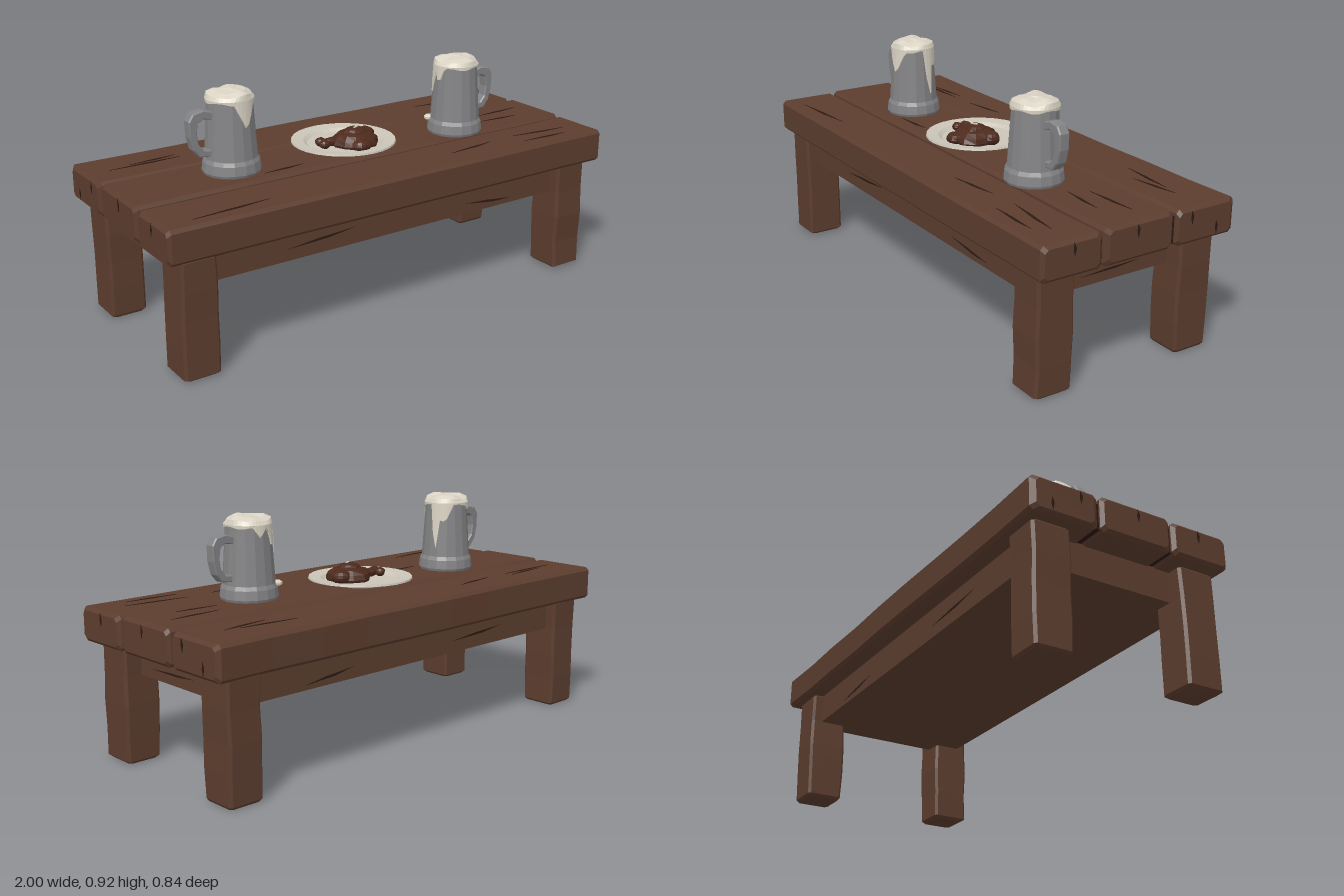
import * as THREE from 'three';

const mat = (name, color, side = THREE.FrontSide) => {
  const m = new THREE.MeshStandardMaterial({ color, side });
  m.name = name;
  return m;
};

// Small seeded generator for hand-hewn irregularity
let seed = 7;
const rnd = () => (seed = (seed * 16807) % 2147483647) / 2147483647;

// Facet a geometry so every face has its own normal
function facet(geo) {
  const g = geo.index ? geo.toNonIndexed() : geo;
  g.computeVertexNormals();
  return g;
}

// Skin a list of equal-length rings (counterclockwise about the direction of travel), capped at both ends
function loft(rings) {
  const n = rings[0].length, pos = [], idx = [];
  rings.forEach(r => r.forEach(p => pos.push(...p)));
  for (let k = 0; k < rings.length - 1; k++) {
    for (let i = 0; i < n; i++) {
      const j = (i + 1) % n, a = k * n, b = a + n;
      idx.push(a + i, a + j, b + j, a + i, b + j, b + i);
    }
  }
  const last = (rings.length - 1) * n;
  for (let i = 1; i < n - 1; i++) idx.push(0, i + 1, i, last, last + i, last + i + 1);
  const g = new THREE.BufferGeometry();
  g.setAttribute('position', new THREE.Float32BufferAttribute(pos, 3));
  g.setIndex(idx);
  return facet(g);
}

// Chamfered beam along x or y; size is [first cross axis, second cross axis, length]
function timber(axis, [su, sv, len], c, wobU, wobV, steps) {
  const put = axis === 'x' ? (u, v, w) => [w, u, v] : (u, v, w) => [v, w, u];
  const stations = [-len / 2];
  for (let k = 0; k <= steps; k++) stations.push((len / 2 - c) * (2 * k / steps - 1));
  stations.push(len / 2);
  const rings = stations.map((w, k) => {
    const inset = k === 0 || k === stations.length - 1 ? c : 0;
    const u0 = -su / 2 + inset + rnd() * wobU, u1 = su / 2 - inset - rnd() * wobU;
    const v0 = -sv / 2 + inset + rnd() * wobV, v1 = sv / 2 - inset - rnd() * wobV;
    return [[u1, v0 + c], [u1, v1 - c], [u1 - c, v1], [u0 + c, v1],
      [u0, v1 - c], [u0, v0 + c], [u0 + c, v0], [u1 - c, v0]].map(([u, v]) => put(u, v, w));
  });
  return loft(rings);
}

export function createModel() {
  const wood = mat('brown wood', 0x5c3d2e);
  const dark = mat('dark crack', 0x2b1a13);
  const pewter = mat('grey pewter', 0x838385);
  const foamMat = mat('cream foam', 0xd9d2c3, THREE.DoubleSide);
  const china = mat('pale plate', 0xcbc5b8);
  const roastMat = mat('roast brown', 0x4d2a1c);

  const model = new THREE.Group();
  model.name = 'tavernTable';
  const add = (parent, name, geo, material, x = 0, y = 0, z = 0) => {
    const m = new THREE.Mesh(geo, material);
    m.name = name;
    m.position.set(x, y, z);
    parent.add(m);
    return m;
  };

  // Table top: three rough planks with dark seams
  for (const [z, w, top] of [[0.292, 0.252, 0.592], [0.01, 0.302, 0.598], [-0.284, 0.272, 0.594]]) {
    add(model, 'plank', timber('x', [top - 0.46, w, 2], 0.013, 0, 0.008, 9), wood, 0, (top + 0.46) / 2, z);
  }
  for (const z of [0.163, -0.144]) {
    add(model, 'plankSeam', new THREE.BoxGeometry(1.96, 0.1, 0.02), dark, 0, 0.52, z);
  }

  // Frame under the top and four legs
  add(model, 'frame', new THREE.BoxGeometry(1.75, 0.125, 0.68), wood, -0.005, 0.4025, 0);
  for (const x of [-0.877, 0.867]) {
    for (const z of [0.31, -0.307]) {
      add(model, 'leg', timber('y', [0.16, 0.15, 0.462], 0.01, 0.007, 0.006, 4), wood, x, 0.231, z);
    }
  }

  // Cracks: thin slivers lying in the wood faces
  const crack = (len, w, x, y, z, rx, ry, rz) => {
    const s = new THREE.Shape();
    s.moveTo(-len / 2, 0);
    s.lineTo(len * 0.1, -w / 2);
    s.lineTo(len / 2, w * 0.3);
    s.lineTo(-len * 0.05, w / 2);
    const g = new THREE.ExtrudeGeometry(s, { depth: 0.003, bevelEnabled: false });
    g.translate(0, 0, -0.0015);
    add(model, 'crack', g, dark, x, y, z).rotation.set(rx, ry, rz);
  };
  const topCracks = [[-0.72, -0.285, 0.2, 0.06], [-0.76, -0.262, 0.3, 0], [-0.4, -0.28, 0.2, 0.12],
    [0.68, -0.285, 0.24, -0.1], [0.76, -0.25, 0.2, 0.12], [0.8, -0.02, 0.22, 0.04], [0.74, 0.06, 0.18, -0.08],
    [-0.36, 0.1, 0.18, 0.05], [-0.72, 0.345, 0.32, 0.07], [0.4, 0.29, 0.22, 0.1], [0.76, 0.285, 0.26, -0.12],
    [0.74, 0.35, 0.22, -0.05]];
  for (const [x, z, len, a] of topCracks) {
    const y = z > 0.16 ? 0.592 : z > -0.14 ? 0.598 : 0.594;
    crack(len, 0.012, x, y, z, -Math.PI / 2, 0, a);
  }
  for (const s of [-1, 1]) {
    for (const [z, y] of [[0.285, 0.558], [0.02, 0.563], [-0.22, 0.558], [-0.335, 0.5]]) {
      crack(0.05, 0.012, s, y, z, 0, s * Math.PI / 2, Math.PI / 2);
    }
    const ry = s > 0 ? 0 : Math.PI;
    crack(0.24, 0.01, 0.45, 0.37, s * 0.34, 0, ry, -0.1 * s);
    crack(0.3, 0.01, -0.35, 0.395, s * 0.34, 0, ry, 0.06);
    crack(0.26, 0.008, s * 0.87, 0.38, 0.03, 0, s * Math.PI / 2, 0.03);
  }

  // Tankard with faceted body, side handle and a foam head that drips over the rim
  const bodyRadius = y => 0.1 - 0.014 * (y - 0.06) / 0.22;
  function tankard(name, x, z, side, drips) {
    const g = new THREE.Group();
    g.name = name;
    g.position.set(x, 0.598, z);
    model.add(g);
    const profile = [[0, 0], [0.109, 0], [0.113, 0.01], [0.109, 0.045], [0.101, 0.06], [0.086, 0.28], [0, 0.28]];
    add(g, 'tankardBody', facet(new THREE.LatheGeometry(profile.map(p => new THREE.Vector2(...p)), 16)), pewter);

    const grip = new THREE.Shape([[0.08, 0.245], [0.08, 0.215], [0.12, 0.222], [0.142, 0.21], [0.148, 0.17],
      [0.142, 0.13], [0.122, 0.105], [0.085, 0.1], [0.085, 0.075], [0.14, 0.08], [0.165, 0.11],
      [0.178, 0.16], [0.18, 0.22], [0.162, 0.248], [0.12, 0.256]].map(p => new THREE.Vector2(...p)));
    const gripGeo = new THREE.ExtrudeGeometry(grip, {
      depth: 0.034, bevelThickness: 0.005, bevelSize: 0.004, bevelOffset: -0.004, bevelSegments: 1 });
    gripGeo.translate(0, 0, -0.017);
    add(g, 'tankardHandle', facet(gripGeo), pewter).rotation.y = side > 0 ? 0 : Math.PI;

    const n = 40;
    const ring = f => Array.from({ length: n }, (_, i) => {
      const t = i / n * Math.PI * 2;
      let low = 0.272 + 0.004 * Math.sin(5 * t);
      for (const [a, w, d] of drips) {
        const off = Math.abs(Math.atan2(Math.sin(t - a), Math.cos(t - a)));
        low = Math.min(low, 0.275 - d * Math.max(0, 1 - off / w));
      }
      const [r, y] = f(t, low);
      return [Math.sin(t) * r, y, Math.cos(t) * r];
    });
    const lump = (t, k) => k * (Math.cos(3 * t + x) + 0.6 * Math.sin(5 * t));
    add(g, 'foam', loft([
      ring((t, low) => [bodyRadius(low) - 0.003, low]),
      ring((t, low) => [bodyRadius(low) + 0.005, low + 0.005]),
      ring(() => [0.092, 0.286]),
      ring(t => [0.084 + lump(t, 0.002), 0.302 + lump(t, 0.004)]),
      ring(t => [0.06, 0.314 + lump(t, 0.004)]),
      ring(t => [0.025, 0.318 + lump(t, 0.002)])
    ]), foamMat);
    return g;
  }
  tankard('rightTankard', -0.53, 0, -1, [[0.2, 0.55, 0.1], [1.85, 0.28, 0.21], [2.25, 0.4, 0.08], [-2.6, 0.3, 0.03]]);
  const wet = tankard('leftTankard', 0.48, 0.078, 1, [[3.0, 0.35, 0.04], [-2.6, 0.3, 0.09], [-2.05, 0.35, 0.11], [-1.5, 0.3, 0.07]]);
  // Foam splash on the tankard foot
  const splash = add(wet, 'foamSplash', facet(new THREE.SphereGeometry(0.022, 8, 5)), foamMat, -0.085, 0.055, -0.062);
  splash.scale.set(1, 0.6, 1);

  // Plate with raised rim
  const plateProfile = [[0, 0], [0.11, 0], [0.13, 0.006], [0.21, 0.024], [0.208, 0.031], [0.16, 0.026], [0.145, 0.015], [0, 0.014]];
  add(model, 'plate', facet(new THREE.LatheGeometry(plateProfile.map(p => new THREE.Vector2(...p)), 28)),
    china, -0.02, 0.598, -0.005);

  // Roast: lumpy joint with a knuckle, side pieces and a bone slit on top
  const roast = new THREE.Group();
  roast.name = 'roast';
  roast.position.set(0.01, 0.612, 0.03);
  model.add(roast);
  const lumpy = (name, sx, sy, sz, x, y, z) => {
    const geo = new THREE.SphereGeometry(1, 12, 8), p = geo.attributes.position;
    for (let i = 0; i < p.count; i++) {
      const vx = p.getX(i), vy = p.getY(i), vz = p.getZ(i);
      const k = 1 + 0.07 * Math.sin(5 * vx + 2 * vz) * Math.cos(4 * vz + 2 * vy);
      p.setXYZ(i, vx * k * sx, vy * k * sy, vz * k * sz);
    }
    add(roast, name, facet(geo), roastMat, x, y, z);
  };
  lumpy('roastJoint', 0.092, 0.05, 0.092, 0, 0.01, 0);
  lumpy('roastCrown', 0.05, 0.025, 0.045, 0, 0.045, 0);
  lumpy('roastSide', 0.045, 0.03, 0.035, 0.065, 0.022, -0.03);
  lumpy('roastSide', 0.04, 0.025, 0.035, -0.02, 0.016, 0.078);
  lumpy('roastShank', 0.05, 0.018, 0.022, -0.095, 0.02, -0.02);
  lumpy('roastKnuckle', 0.022, 0.018, 0.022, -0.135, 0.02, -0.04);
  lumpy('roastKnuckle', 0.022, 0.018, 0.022, -0.138, 0.02, -0.005);
  const slit = add(roast, 'boneSlit', new THREE.BoxGeometry(0.03, 0.006, 0.008), china, 0.002, 0.069, 0.005);
  slit.rotation.y = 0.5;

  return model;
}
